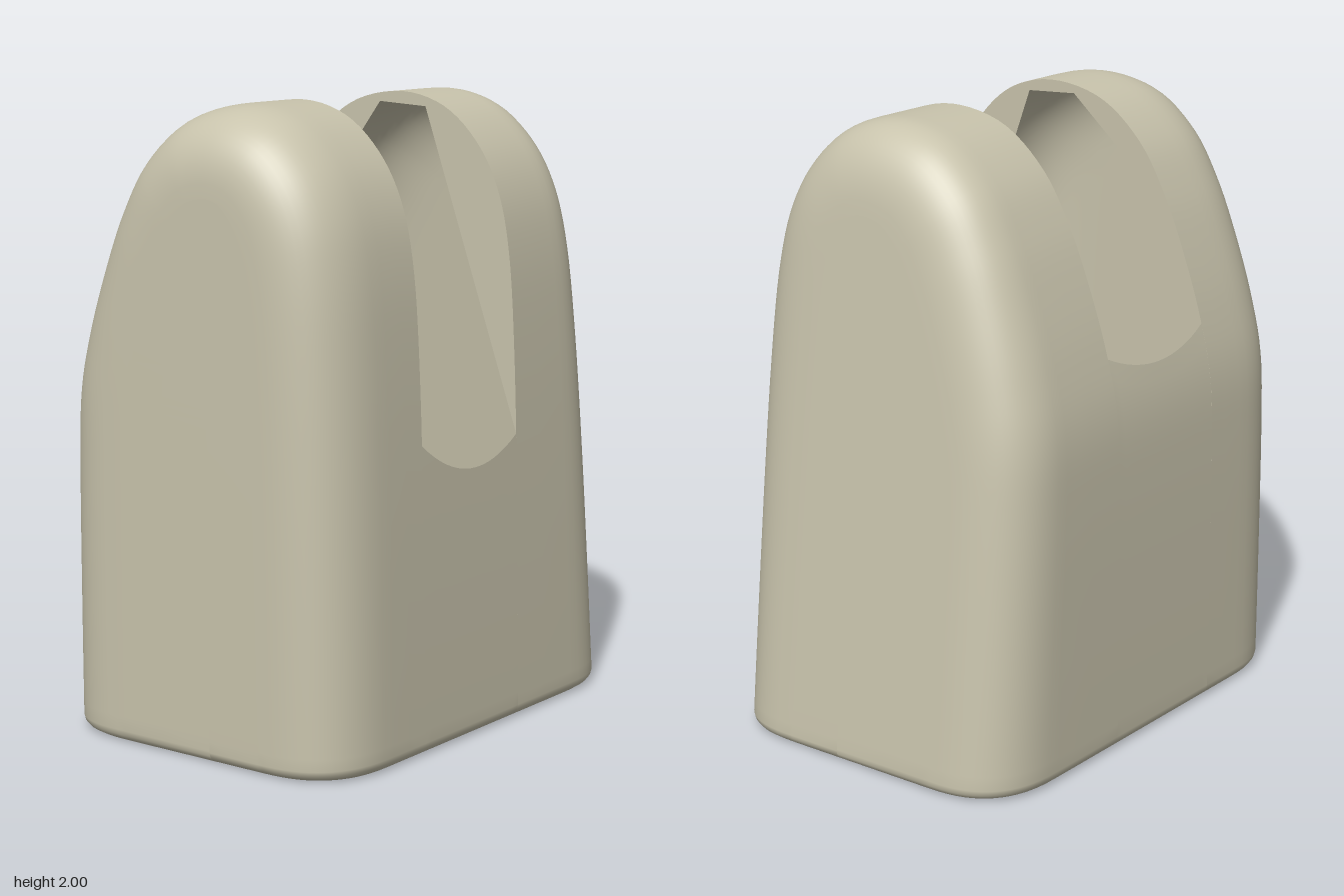
import * as THREE from 'three';

const FILLET = 0.04, MID = 0.08;            // bottom edge radius, apex x
const Z0 = -0.18, Z1 = 0.335, ZC = (Z0 + Z1) / 2, ZH = (Z1 - Z0) / 2;   // slot
const PX0 = -0.48, PX1 = 0.35, PZ0 = -0.36, PZ1 = 0.51;                 // base opening

export function createModel() {
  const group = new THREE.Group();
  const stone = new THREE.MeshStandardMaterial({ color: 0xc8c3ac, side: THREE.DoubleSide });
  stone.name = 'warm grey';
  const add = (name, geometry) => {
    const mesh = new THREE.Mesh(geometry, stone);
    mesh.name = name;
    group.add(mesh);
    return mesh;
  };
  const toVectors = (points) => points.map(([x, y]) => new THREE.Vector2(x, y));

  // Smooth surface through rows of points
  const grid = (rows) => {
    const n = rows[0].length, index = [];
    for (let r = 0; r + 1 < rows.length; r++) {
      for (let i = 0; i + 1 < n; i++) {
        const a = r * n + i, b = a + n;
        index.push(a, b, a + 1, a + 1, b, b + 1);
      }
    }
    const g = new THREE.BufferGeometry();
    g.setAttribute('position', new THREE.Float32BufferAttribute(rows.flat(2), 3));
    g.setIndex(index);
    g.computeVertexNormals();
    return g;
  };

  // Lopsided arch profile from the bottom left, over the top, to the bottom right
  const arch = new THREE.SplineCurve(toVectors([
    [-0.565, 0.04], [-0.565, 0.4], [-0.562, 0.85], [-0.55, 1.1], [-0.505, 1.3], [-0.437, 1.5],
    [-0.36, 1.68], [-0.26, 1.84], [-0.11, 1.96], [0.08, 2], [0.25, 1.96], [0.38, 1.85],
    [0.463, 1.7], [0.507, 1.5], [0.53, 1.2], [0.545, 0.8], [0.555, 0.35], [0.56, 0.04],
  ]));
  const low = [0, 0.003, 0.012, 0.024];
  const profile = [
    ...low.map((y) => ({ x: -0.565, y, nx: -1, ny: 0 })),
    ...Array.from({ length: 91 }, (_, i) => {
      const p = arch.getPoint(i / 90), t = arch.getTangent(i / 90);
      return { x: p.x, y: p.y, nx: -t.y, ny: Math.max(0, t.x) };
    }),
    ...low.slice().reverse().map((y) => ({ x: 0.56, y, nx: 1, ny: 0 })),
  ];
  const pull = (y) => (y >= FILLET ? 0 : FILLET - Math.sqrt(FILLET ** 2 - (FILLET - y) ** 2));
  const section = (inset) => profile.map((p) => {
    const x = p.x - p.nx * inset, y = p.y - p.ny * inset;
    return [x - Math.sign(x - MID) * pull(y), y];
  });
  const outline = section(0);

  // Outer x of the body at height y on one side
  const sideX = (y, side) => {
    const half = outline.filter(([x]) => (x - MID) * side >= 0);
    if (side > 0) half.reverse();
    for (let i = 1; i < half.length; i++) {
      const [xa, ya] = half[i - 1], [xb, yb] = half[i];
      if (y <= yb) return xa + (xb - xa) * (y - ya) / (yb - ya);
    }
    return MID;
  };

  // One hollow lobe: straight run, squarish rounded shoulder, then the end face
  const lobe = (start, end, slope) => {
    const dir = Math.sign(end - start), len = Math.abs(end - start), rz = 0.3, rx = 0.27;
    const row = (d, inset, squeeze) => section(inset).map(([x, y]) => {
      const z = start + dir * d * (len - slope * y - pull(y)) / len;
      return [MID + (x - MID) * squeeze, y, z];
    });
    const rows = [row(0, 0, 1), row((len - rz) / 2, 0, 1)];
    for (let i = 0; i <= 16; i++) {
      const a = i / 16 * Math.PI / 2, power = 2 / 2.6;
      const c = i === 16 ? 0 : Math.cos(a) ** power;
      rows.push(row(len - rz + rz * Math.sin(a) ** power, rx * (1 - c), 1));
    }
    const edge = rows.slice();
    for (const s of [0.9, 0.5, 0]) rows.push(row(len, rx, s));
    return { rows, edge };
  };
  const front = lobe(Z1, 0.8, 0), back = lobe(Z0, -0.8, 0.095);
  add('frontLobe', grid(front.rows));
  add('backLobe', grid(back.rows));

  // Side walls below the slot, with dipped top edges (u runs from back -1 to front 1)
  const leftLip = (u) => 0.862 + 0.09 * u * u + 0.02 * u;
  const rightLip = (u) => 1.22 + 0.06 * u * u;
  for (const [name, side, lip] of [['leftSide', 1, leftLip], ['rightSide', -1, rightLip]]) {
    const rows = [];
    for (let j = 0; j <= 16; j++) {
      const u = j / 8 - 1, top = lip(u), ys = [...low];
      for (let i = 0; i <= 20; i++) ys.push(FILLET + (top - FILLET) * i / 20);
      rows.push(ys.map((y) => [sideX(y, side), y, ZC + u * ZH]));
    }
    add(name, grid(rows));
  }

  // Slot faces: a band under the arch, open below into the hollow lobes
  const slotFace = (name, u, inner) => {
    const yl = leftLip(u), yr = rightLip(u);
    const over = outline.filter(([x, y]) => y > (x > MID ? yl : yr));
    const shape = new THREE.Shape(toVectors([
      [sideX(yr, -1), yr], ...over, [sideX(yl, 1), yl], ...inner]));
    add(name, new THREE.ShapeGeometry(shape)).position.z = ZC + u * ZH;
  };
  slotFace('frontSlotFace', 1, [[0.18, 1.955], [0, 1.965], [-0.3, 1.7]]);
  slotFace('backSlotFace', -1, [[0.18, 1.955], [0, 1.965]]);

  // Base with a rimmed opening, rounded towards the left side
  const last = outline.length - 1;
  const right = [...back.edge.slice().reverse(), ...front.edge].map((r) => r[last]);
  const left = [...front.edge.slice().reverse(), ...back.edge].map((r) => r[0]);
  const base = new THREE.Shape([...right, ...left].map((p) => new THREE.Vector2(p[0], p[2])));
  const hole = [[PX0, PZ0], [PX1, PZ0]];
  for (let j = 0; j <= 16; j++) {
    const u = j / 8 - 1;
    hole.push([PX1 + 0.1 * (1 - u * u), ZC + u * ZH]);
  }
  hole.push([PX1, PZ1], [PX0, PZ1]);
  base.holes.push(new THREE.Path(toVectors(hole)));
  add('base', new THREE.ShapeGeometry(base).rotateX(Math.PI / 2));
  const rim = grid([0, 0.025].map((y) => [...hole, hole[0]].map(([x, z]) => [x, y, z])));
  const flatRim = rim.toNonIndexed();
  flatRim.computeVertexNormals();
  add('openingRim', flatRim);
  return group;
}
